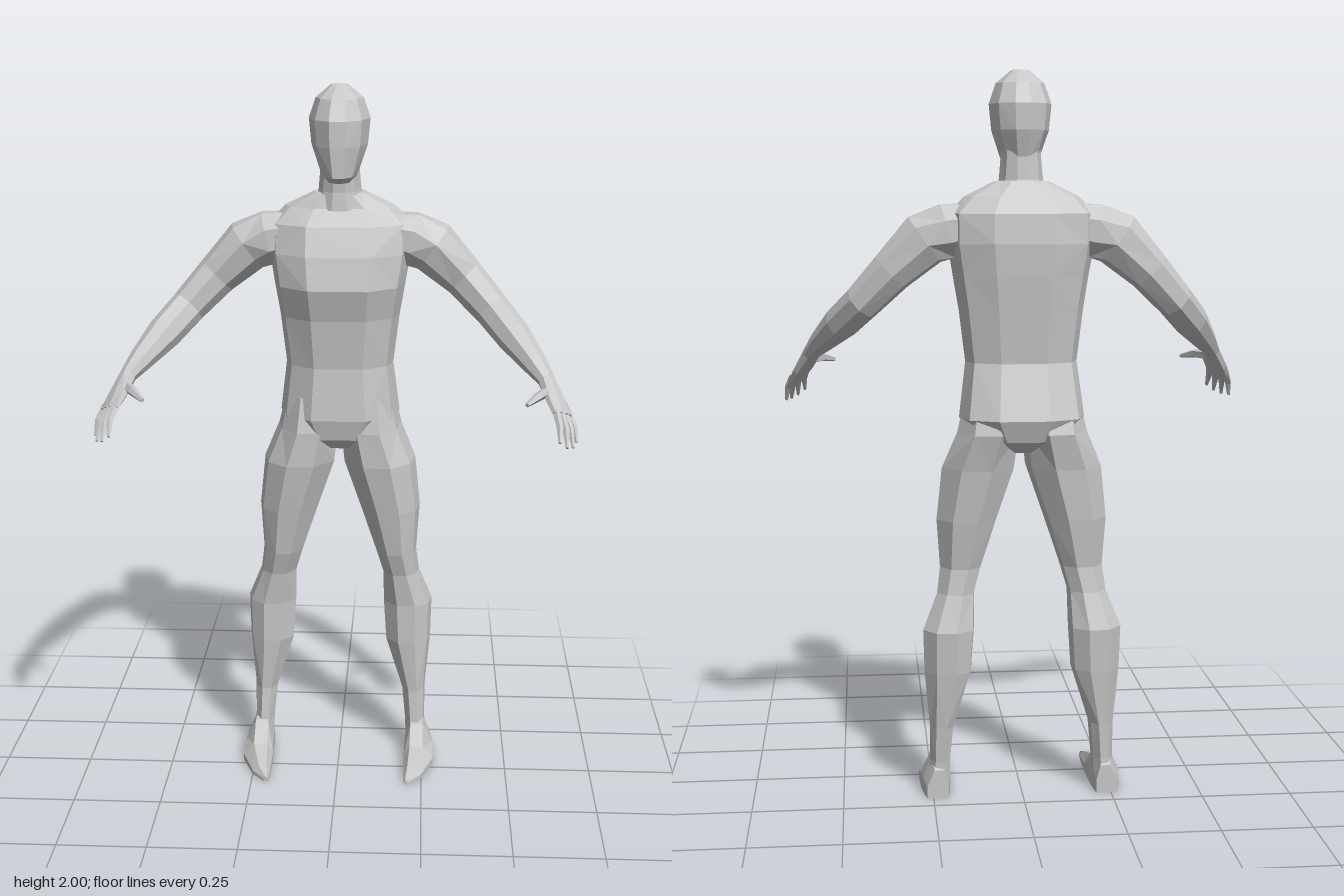
import * as THREE from 'three';

const skin = new THREE.MeshStandardMaterial({ color: 0xc8c8c8, flatShading: true });
skin.name = 'plain grey';

const V = (x, y, z) => new THREE.Vector3(x, y, z);

// Outlines in a unit square, as [x, z] pairs running from +x towards +z
const torsoOutline = [[1, -0.1], [0.88, 0.55], [0.45, 1], [-0.45, 1], [-0.88, 0.55],
  [-1, -0.1], [-0.86, -0.7], [-0.4, -1], [0.4, -1], [0.86, -0.7]];
const headOutline = [[1, -0.1], [0.75, 0.65], [0.28, 1], [-0.28, 1], [-0.75, 0.65],
  [-1, -0.1], [-0.75, -0.75], [-0.25, -1], [0.25, -1], [0.75, -0.75]];
const legOutline = [[1, -0.25], [0.85, 0.5], [0.3, 1], [-0.45, 0.95],
  [-1, 0.3], [-0.9, -0.55], [-0.3, -1], [0.5, -0.9]];

// Skins a row of rings and closes both ends; side -1 mirrors across x
function loft(name, rings, side = 1) {
  const pos = [];
  const tri = (a, b, c) => {
    for (const p of side > 0 ? [a, b, c] : [a, c, b]) pos.push(p.x * side, p.y, p.z);
  };
  const n = rings[0].length;
  for (let i = 0; i < rings.length - 1; i++) {
    for (let j = 0; j < n; j++) {
      const k = (j + 1) % n;
      const a = rings[i][j], b = rings[i][k], c = rings[i + 1][j], d = rings[i + 1][k];
      if ((i + j) % 2) { tri(a, c, b); tri(b, c, d); } else { tri(a, c, d); tri(a, d, b); }
    }
  }
  const cap = (ring, flip) => {
    const mid = ring.reduce((s, p) => s.add(p), V(0, 0, 0)).divideScalar(n);
    ring.forEach((p, j) => {
      const q = ring[(j + 1) % n];
      if (flip) tri(mid, q, p); else tri(mid, p, q);
    });
  };
  cap(rings[0], false);
  cap(rings[rings.length - 1], true);
  const geo = new THREE.BufferGeometry();
  geo.setAttribute('position', new THREE.Float32BufferAttribute(pos, 3));
  geo.computeVertexNormals();
  const mesh = new THREE.Mesh(geo, skin);
  mesh.name = name;
  return mesh;
}

// Level ring from its extents in x and z
const level = (outline, [y, x0, x1, zf, zb]) => outline.map(([u, w]) =>
  V((x0 + x1) / 2 + u * (x1 - x0) / 2, y, (zf + zb) / 2 + w * (zf - zb) / 2));

// Level rings centred on x = 0, as [y, half width, front z, back z]
const centred = (outline, rows) => rows.map(([y, w, zf, zb]) => level(outline, [y, -w, w, zf, zb]));

// Rings along a path, as [x, y, z, half breadth, half thickness]
function limb(rows, sides, ref) {
  const pts = rows.map(r => V(r[0], r[1], r[2]));
  return rows.map(([, , , a, b], i) => {
    const t = pts[Math.min(i + 1, pts.length - 1)].clone().sub(pts[Math.max(i - 1, 0)]).normalize();
    const v = ref.clone().addScaledVector(t, -ref.dot(t)).normalize();
    const u = t.clone().cross(v);
    return Array.from({ length: sides }, (_, k) => {
      const ang = (k + 0.5) / sides * Math.PI * 2;
      return pts[i].clone().addScaledVector(u, b * 1.04 * Math.cos(ang)).addScaledVector(v, a * 1.04 * Math.sin(ang));
    });
  });
}

// Foot ring across z: flat sole and a narrower instep
function footRing([z, x0, x1, h]) {
  const w = x1 - x0;
  return [V(x0, 0, z), V(x0, h * 0.45, z), V(x0 + w * 0.2, h, z),
    V(x0 + w * 0.65, h, z), V(x1, h * 0.4, z), V(x1, 0, z)];
}

export function createModel() {
  const model = new THREE.Group();
  model.name = 'figure';

  model.add(loft('torso', centred(torsoOutline, [
    [0.975, 0.05, -0.07, -0.2], [1.01, 0.12, -0.03, -0.25], [1.07, 0.172, -0.015, -0.272],
    [1.22, 0.153, -0.025, -0.225], [1.36, 0.17, -0.008, -0.24], [1.45, 0.185, 0.018, -0.25],
    [1.54, 0.2, 0.0, -0.257], [1.62, 0.2, -0.03, -0.25], [1.665, 0.155, -0.07, -0.22],
    [1.705, 0.075, -0.08, -0.195]])));

  model.add(loft('neck', centred(headOutline, [
    [1.66, 0.075, -0.06, -0.2], [1.71, 0.06, -0.065, -0.185], [1.8, 0.052, -0.06, -0.18]])));

  model.add(loft('head', centred(headOutline, [
    [1.738, 0.036, -0.04, -0.165], [1.758, 0.05, 0.01, -0.178], [1.84, 0.078, 0.012, -0.203],
    [1.91, 0.085, 0.01, -0.205], [1.965, 0.066, -0.02, -0.175], [2.0, 0.024, -0.08, -0.13]])));

  const palmAxis = V(-0.5, 0.15, 0.85);
  // Fingers: base, tip
  const fingers = [
    ['indexFinger', V(0.596, 1.158, 0.2), V(0.602, 1.1, 0.268)],
    ['middleFinger', V(0.61, 1.153, 0.186), V(0.622, 1.085, 0.262)],
    ['ringFinger', V(0.621, 1.148, 0.168), V(0.64, 1.078, 0.235)],
    ['littleFinger', V(0.632, 1.145, 0.148), V(0.653, 1.079, 0.19)],
    ['thumb', V(0.572, 1.203, 0.13), V(0.514, 1.192, 0.228)]];

  for (const [label, s] of [['left', 1], ['right', -1]]) {
    const side = new THREE.Group();
    side.name = label + 'Limbs';

    // Leg from hip to ankle, built upwards
    side.add(loft('leg', [
      [0.04, 0.202, 0.265, -0.085, -0.19], [0.1, 0.2, 0.258, -0.09, -0.19],
      [0.2, 0.19, 0.258, -0.1, -0.198], [0.36, 0.14, 0.272, -0.09, -0.218],
      [0.48, 0.132, 0.275, -0.09, -0.228], [0.58, 0.13, 0.235, -0.08, -0.2],
      [0.65, 0.11, 0.226, -0.06, -0.193], [0.785, 0.065, 0.235, -0.04, -0.215],
      [0.93, 0.015, 0.22, -0.02, -0.235], [1.03, 0.004, 0.178, -0.02, -0.262],
      [1.13, 0.02, 0.155, -0.04, -0.235]].map(r => level(legOutline, r)), s));

    side.add(loft('foot', [
      [-0.195, 0.208, 0.268, 0.08], [-0.14, 0.202, 0.278, 0.11], [-0.085, 0.2, 0.283, 0.1],
      [-0.02, 0.197, 0.285, 0.055], [0.07, 0.198, 0.25, 0.03], [0.113, 0.2, 0.212, 0.014]].map(footRing), s));

    // Arm and palm, from the shoulder outwards
    side.add(loft('arm', limb([
      [0.12, 1.59, -0.14, 0.07, 0.06], [0.2, 1.573, -0.14, 0.073, 0.076],
      [0.262, 1.55, -0.142, 0.065, 0.074], [0.35, 1.465, -0.135, 0.05, 0.058],
      [0.43, 1.38, -0.105, 0.046, 0.05], [0.49, 1.318, -0.035, 0.046, 0.047],
      [0.545, 1.26, 0.045, 0.034, 0.033], [0.575, 1.225, 0.09, 0.027, 0.022],
      [0.597, 1.183, 0.138, 0.042, 0.019], [0.615, 1.15, 0.177, 0.043, 0.013]], 8, palmAxis), s));

    for (const [name, base, tip] of fingers) {
      const mid = base.clone().lerp(tip, 0.5).add(V(0.004, 0.006, 0.002));
      const r = name === 'thumb' ? 0.015 : 0.011;
      const root = base.clone().lerp(tip, -0.12);
      side.add(loft(name, limb([
        [...root.toArray(), r, r], [...mid.toArray(), r * 0.85, r * 0.85],
        [...tip.toArray(), r * 0.4, r * 0.4]], 5, palmAxis.clone().add(V(0, 0.6, 0))), s));
    }
    model.add(side);
  }
  return model;
}
